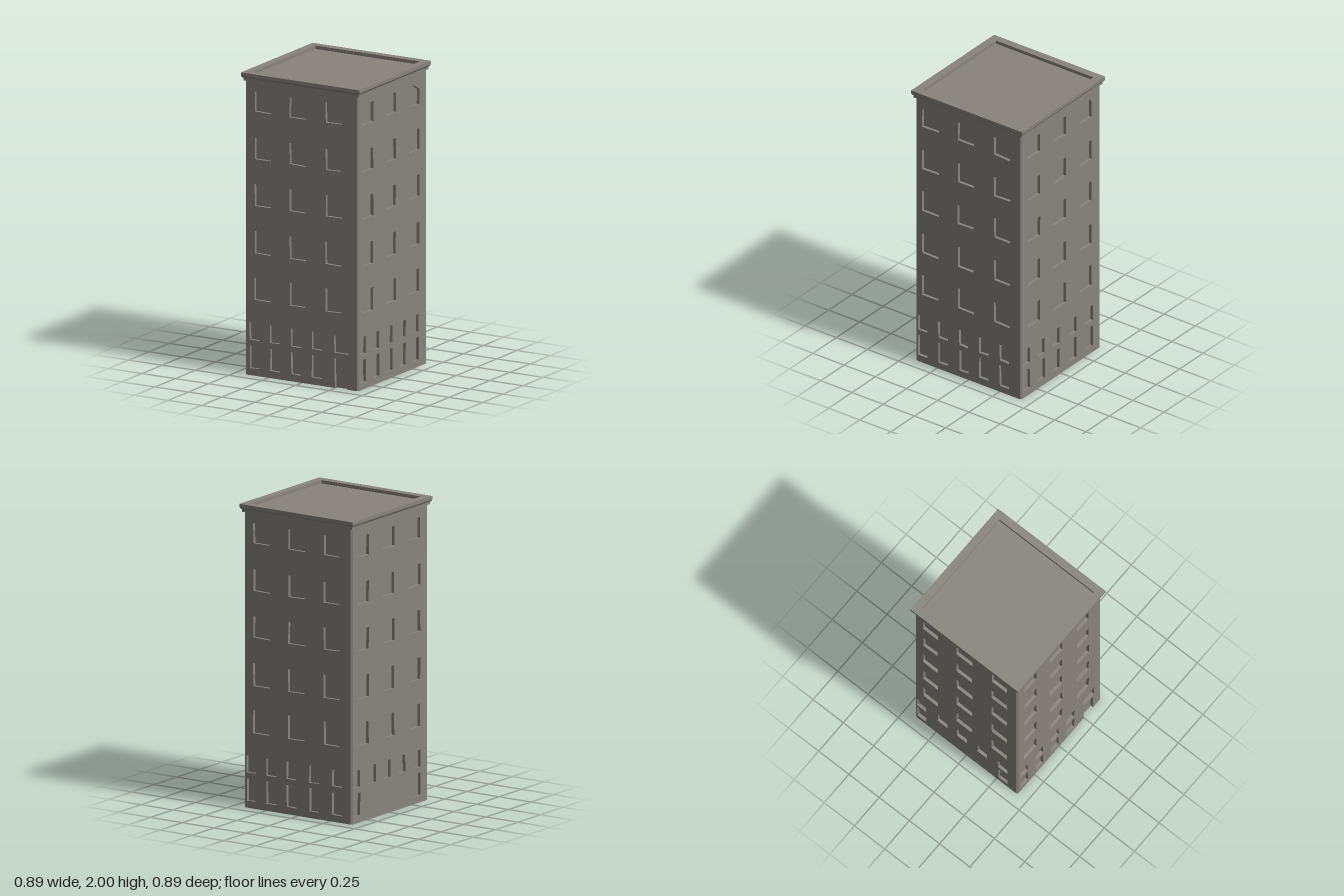
import * as THREE from 'three';

const H = 1.96;        // wall height
const HALF = 0.423;    // half width of the tower
const CUT = 0.01;      // corner chamfer
const REVEAL = 0.02;   // depth of the window recesses

// Window rows as [bottom, top]
const ROWS = [[0.5, 0.651], [0.81, 0.958], [1.127, 1.27], [1.435, 1.575], [1.748, 1.88]];
const UPPER = [0.233, 0.347];
const LOWER = [0.046, 0.196];

// Columns as [left, right], seen from outside each wall
const SIDES = [
  { name: 'frontWall', angle: 0, door: [0.248, 0.344],
    big: [[-0.353, -0.23], [-0.09, 0.03], [0.178, 0.3]],
    small: [[-0.39, -0.318], [-0.238, -0.164], [-0.08, -0.005], [0.074, 0.153], [0.243, 0.354]],
    low: [0, 1, 2, 3] },
  { name: 'leftWall', angle: Math.PI / 2, slanted: true,
    big: [[-0.37, -0.238], [-0.085, 0.042], [0.206, 0.333]],
    small: [[-0.402, -0.328], [-0.243, -0.164], [-0.074, 0], [0.085, 0.164], [0.249, 0.323]],
    low: [0, 1, 2, 3, 4] },
  { name: 'backWall', angle: Math.PI,
    big: [[-0.35, -0.222], [-0.075, 0.055], [0.203, 0.326]],
    small: [[-0.402, -0.33], [-0.247, -0.172], [-0.088, -0.014], [0.09, 0.165], [0.268, 0.343]],
    low: [0, 1, 2, 3, 4] },
  { name: 'rightWall', angle: -Math.PI / 2,
    big: [[-0.355, -0.235], [-0.08, 0.048], [0.21, 0.336]],
    small: [[-0.405, -0.33], [-0.235, -0.155], [-0.078, 0.005], [0.095, 0.17], [0.262, 0.338]],
    low: [0, 4] },
];

export function createModel() {
  const group = new THREE.Group();
  const stone = new THREE.MeshStandardMaterial({ color: 0x88837d });
  stone.name = 'greyStone';

  const add = (name, geometry) => {
    const mesh = new THREE.Mesh(geometry, stone);
    mesh.name = name;
    group.add(mesh);
    return mesh;
  };

  // Small seeded wobble for hand-cut openings
  let seed = 7;
  const wobble = () => {
    seed = (seed * 16807) % 2147483647;
    return (seed / 2147483647 - 0.5) * 0.006;
  };
  const opening = ([l, r], [b, t]) => {
    const corners = [[l, b], [l, t], [r, t], [r, b]];
    return new THREE.Path(corners.map(([x, y]) => new THREE.Vector2(x + wobble(), y + wobble())));
  };

  // Inner core forms the recessed panes
  const inner = HALF - REVEAL;
  add('core', new THREE.BoxGeometry(inner * 2, H, inner * 2)).position.y = H / 2;

  // Four walls pierced by their windows
  const w = HALF - CUT;
  for (const side of SIDES) {
    const wall = new THREE.Shape();
    wall.moveTo(-w, 0);
    if (side.door) {
      const [l, r] = side.door;
      wall.lineTo(l, 0).lineTo(l - 0.004, LOWER[1]).lineTo(r, LOWER[1]).lineTo(r, 0);
    }
    wall.lineTo(w, 0).lineTo(w, H).lineTo(-w, H).closePath();

    ROWS.forEach((row, i) => side.big.forEach((col, j) => {
      if (side.slanted && i === 4 && j === 2) {
        // One window with a broken top corner
        const points = [[0.206, 1.743], [0.206, 1.873], [0.265, 1.872], [0.335, 1.835], [0.333, 1.735]];
        wall.holes.push(new THREE.Path(points.map(([x, y]) => new THREE.Vector2(x, y))));
      } else wall.holes.push(opening(col, row));
    }));
    side.small.forEach((col) => wall.holes.push(opening(col, UPPER)));
    side.low.forEach((k) => wall.holes.push(opening(side.small[k], LOWER)));

    const geometry = new THREE.ExtrudeGeometry(wall, { depth: REVEAL, bevelEnabled: false });
    geometry.translate(0, 0, inner);
    add(side.name, geometry).rotation.y = side.angle;

    // Chamfer strip at the corner beside this wall
    const depth = CUT / Math.SQRT2;
    const strip = new THREE.BoxGeometry(CUT * Math.SQRT2, H, depth);
    strip.translate(0, H / 2, (HALF + w) / Math.SQRT2 - depth / 2);
    add('cornerChamfer', strip).rotation.y = side.angle + Math.PI / 4;
  }

  // Stepped cornice, parapet and sunken roof as one square lathe
  const profile = [
    [0.4, 1.947], [0.432, 1.947], [0.432, 1.965], [0.436, 1.965], [0.444, 1.978],
    [0.444, 2], [0.391, 2], [0.391, 1.978], [0, 1.978],
  ].map(([r, y]) => new THREE.Vector2(r * Math.SQRT2, y));
  const cornice = new THREE.LatheGeometry(profile, 4, Math.PI / 4).toNonIndexed();
  cornice.computeVertexNormals();
  add('corniceAndRoof', cornice);

  return group;
}
